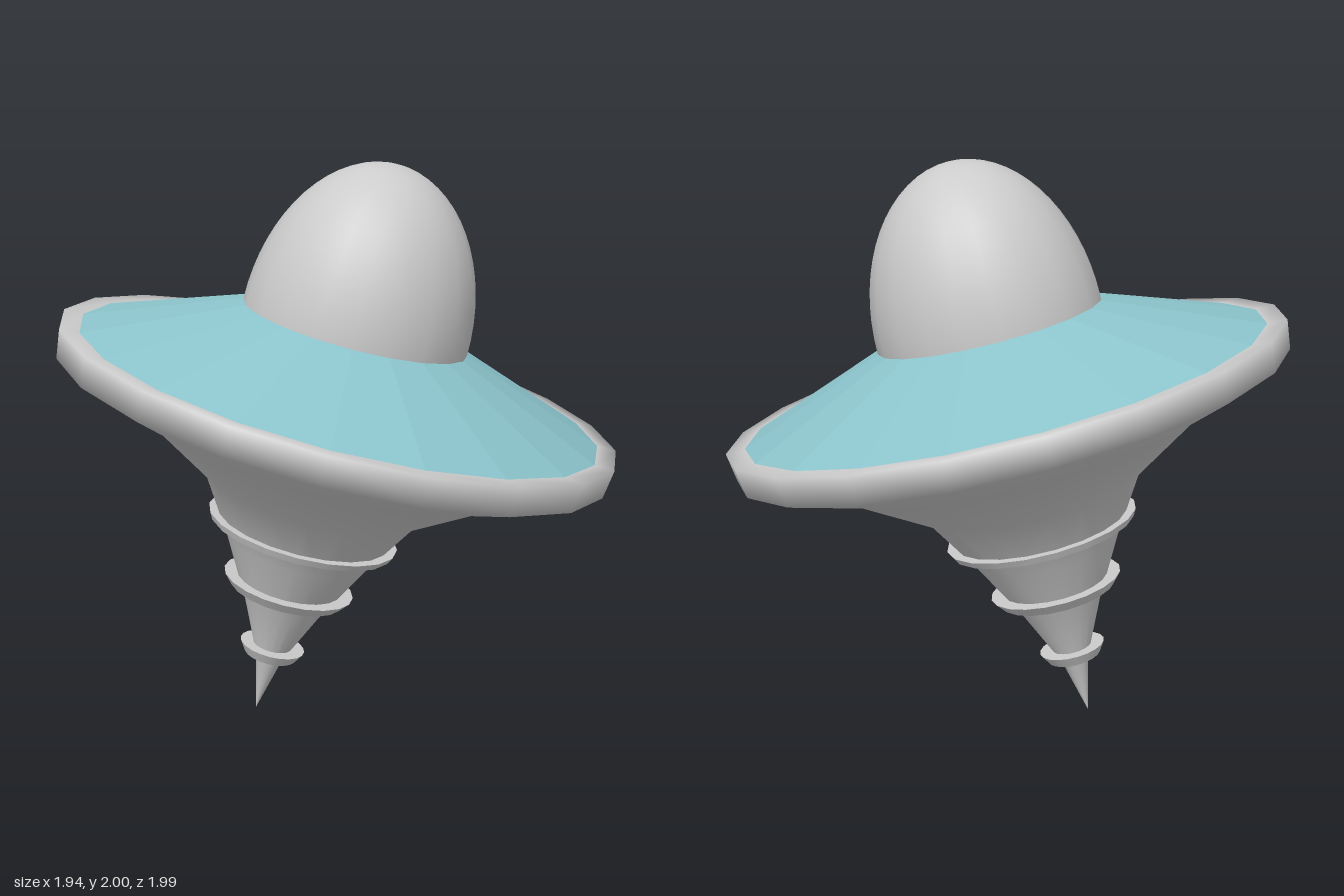
import * as THREE from 'three';

const SIDES = 20;
const TILT = 0.2496; // lean towards +x

export function createModel() {
  const model = new THREE.Group();
  model.name = 'spinningTop';

  const grey = new THREE.MeshStandardMaterial({ color: 0xcccccc });
  const teal = new THREE.MeshStandardMaterial({ color: 0x8cc4cc, flatShading: true });

  // everything is turned around one leaning axis that starts at the tip
  const top = new THREE.Group();
  top.name = 'tiltedTop';
  top.position.set(-0.31, 0.01, 0);
  top.rotation.z = -TILT;
  model.add(top);

  const add = (name, geometry, material, y = 0) => {
    const mesh = new THREE.Mesh(geometry, material);
    mesh.name = name;
    mesh.position.y = y;
    top.add(mesh);
    return mesh;
  };
  const lathe = (points) =>
    new THREE.LatheGeometry(points.map(([r, y]) => new THREE.Vector2(r, y)), SIDES);

  // flared body from the pointed tip up to the rim and its flat lip
  add('body', lathe([
    [0, -0.01], [0.05, 0.2], [0.145, 0.413], [0.265, 0.64], [0.395, 0.855],
    [0.69, 1.056], [0.985, 1.175], [0.996, 1.275], [0.928, 1.275],
  ]), grey);

  // faceted conical deck
  add('deck', lathe([[0.928, 1.275], [0.4, 1.472]]), teal);

  // half-ellipsoid dome
  const dome = add('dome',
    new THREE.SphereGeometry(0.4, SIDES, 16, 0, Math.PI * 2, 0, Math.PI / 2), grey, 1.472);
  dome.scale.y = 0.573 / 0.4;

  // collars around the stem: upper radius, lower radius, upper and lower height
  const collars = [
    [0.348, 0.335, 0.72, 0.695],
    [0.24, 0.21, 0.5, 0.463],
    [0.12, 0.096, 0.248, 0.209],
  ];
  collars.forEach(([rTop, rBottom, yTop, yBottom], i) => {
    add(`collar${i + 1}`,
      new THREE.CylinderGeometry(rTop, rBottom, yTop - yBottom, SIDES), grey, (yTop + yBottom) / 2);
  });

  return model;
}
